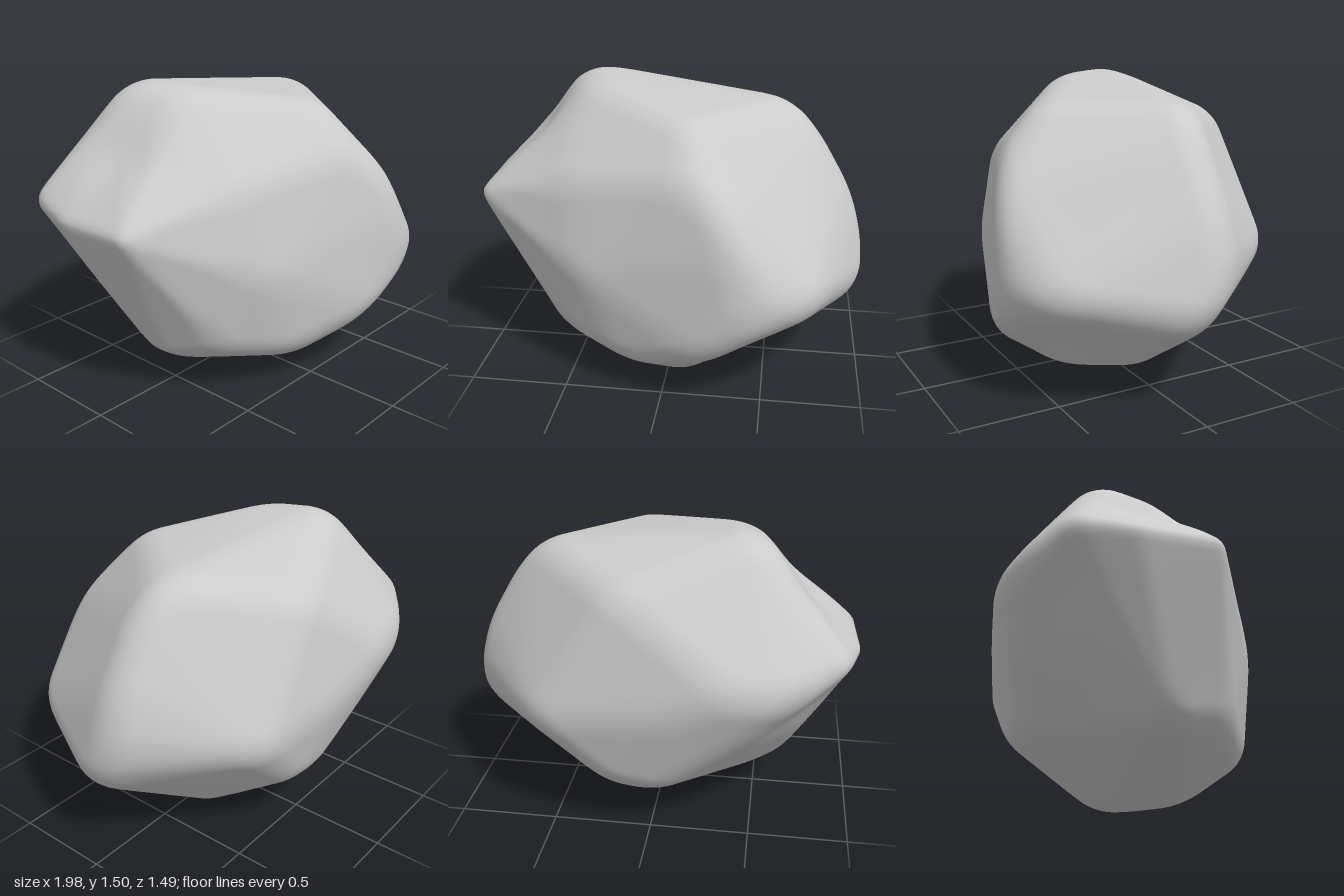
import * as THREE from 'three';
import { mergeVertices } from 'three/addons/utils/BufferGeometryUtils.js';
import { ConvexGeometry } from 'three/addons/geometries/ConvexGeometry.js';

const V = (x, y, z) => new THREE.Vector3(x, y, z);
const CENTRE = V(0, 0.75, 0);

// Corners of the boulder's broad facets
const CORNERS = [
  // top
  [-0.5, 1.5, -0.3], [-0.42, 1.48, 0.02], [0.15, 1.28, -0.6], [0.62, 1.38, -0.13],
  [0.13, 1.38, 0.42],
  // left ridge
  [-0.98, 0.92, 0.19], [-1.0, 0.92, -0.2], [-0.94, 0.96, -0.49],
  // front
  [-0.45, 1.08, 0.42], [0.1, 1.17, 0.6], [0.32, 1.03, 0.7], [0.36, 0.85, 0.74],
  [0.45, 0.55, 0.75], [0.74, 0.57, 0.63], [0.25, 0.33, 0.72],
  [-0.2, 0.19, 0.52], [-0.5, 0.25, 0.36], [-0.4, 0.65, 0.52],
  // right side
  [1.01, 0.45, 0.03], [1.0, 0.66, -0.1], [0.92, 0.95, -0.1], [0.73, 1.27, -0.1],
  [0.55, 0.65, -0.65],
  // back
  [-0.43, 0.88, -0.76], [-0.74, 0.85, -0.69], [-0.1, 0.7, -0.72], [0.2, 0.32, -0.6],
  [-0.05, 0.27, -0.58], [-0.72, 0.6, -0.32],
  // underside
  [0.27, -0.01, -0.1], [0.1, 0, 0.28], [0.2, -0.02, 0], [-0.64, 0.18, 0.05], [-0.5, 0.19, -0.12],
].map((p) => V(...p).sub(CENTRE).multiplyScalar(1.01));

// Shallow hollows: position, depth, angular width
const DENTS = [
  { at: V(0.4, 0.2, 0.42), depth: 0.025, width: 0.3 },
  { at: V(-0.72, 1.2, -0.1), depth: 0.05, width: 0.24 },
  { at: V(-0.66, 0.72, -0.5), depth: 0.03, width: 0.2 },
].map((d) => ({ ...d, at: d.at.sub(CENTRE).normalize() }));

// Facet planes of the hull around the corners
function facetPlanes() {
  const p = new ConvexGeometry(CORNERS).getAttribute('position');
  const planes = [];
  for (let i = 0; i < p.count; i += 3) {
    const [a, b, c] = [0, 1, 2].map((k) => V().fromBufferAttribute(p, i + k));
    const n = b.clone().sub(a).cross(c.sub(a)).normalize();
    planes.push({ n, d: n.dot(a) });
  }
  return planes;
}

// Evenly spread offsets used to average neighbouring directions
const OFFSETS = Array.from({ length: 64 }, (_, i) => {
  const y = 1 - (2 * i + 1) / 64;
  const a = i * 2.39996;
  const s = Math.sqrt(1 - y * y);
  return V(s * Math.cos(a), y, s * Math.sin(a));
});

function boulderGeometry() {
  const planes = facetPlanes();
  const reach = (dir) => {
    let r = 10;
    for (const { n, d } of planes) {
      const k = n.dot(dir);
      if (k > 1e-4) r = Math.min(r, d / k);
    }
    return r;
  };

  let geo = new THREE.IcosahedronGeometry(1, 40);
  geo.deleteAttribute('uv');
  geo.deleteAttribute('normal');
  geo = mergeVertices(geo, 1e-5);
  const pos = geo.getAttribute('position');
  const dir = V();
  const near = V();
  let lowest = 0;
  for (let i = 0; i < pos.count; i++) {
    dir.fromBufferAttribute(pos, i).normalize();
    // Edges are worn round, but the left ridge stays sharp
    const wear = 0.125 - 0.095 * THREE.MathUtils.smoothstep(-dir.x, 0.7, 0.95);
    let r = 0;
    for (const o of OFFSETS) r += reach(near.copy(dir).addScaledVector(o, wear).normalize());
    r /= OFFSETS.length;
    for (const { at, depth, width } of DENTS) {
      r -= depth * Math.exp(-((dir.angleTo(at) / width) ** 2));
    }
    pos.setXYZ(i, dir.x * r, dir.y * r, dir.z * r);
    lowest = Math.min(lowest, dir.y * r);
  }
  geo.translate(0, -lowest, 0);
  geo.computeVertexNormals();
  return geo;
}

export function createModel() {
  const group = new THREE.Group();
  group.name = 'rock';
  const boulder = new THREE.Mesh(
    boulderGeometry(),
    new THREE.MeshStandardMaterial({ color: 0xcccccc }),
  );
  boulder.name = 'boulder';
  group.add(boulder);
  return group;
}
